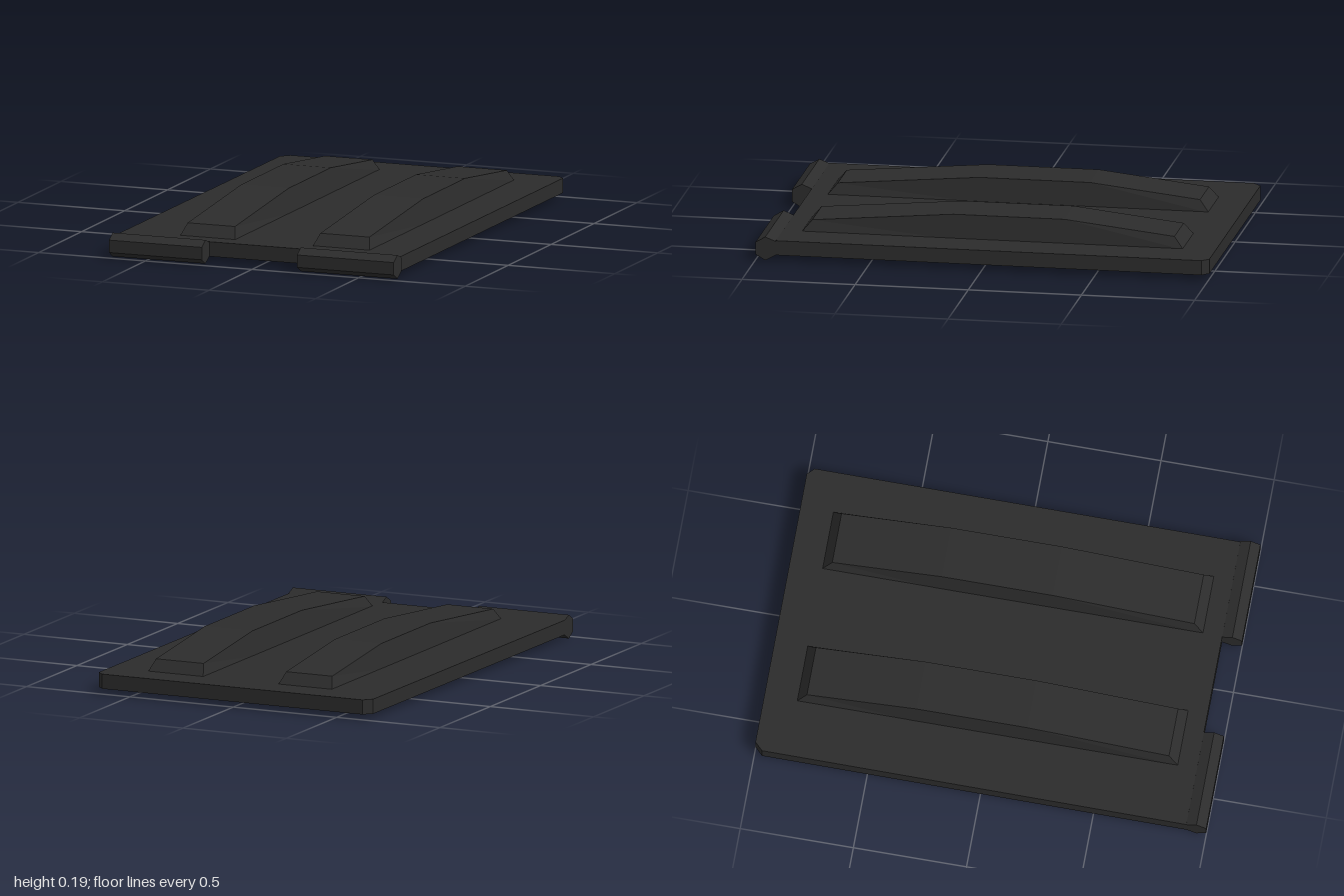
import * as THREE from 'three';

const darkPlastic = new THREE.MeshStandardMaterial({ color: 0x2c2c2c });
darkPlastic.name = 'dark grey';

// Closed loft through equally sized rings of points, with flat faces
function loft(rings) {
  const pos = [];
  const tri = (a, b, c) => pos.push(...a, ...b, ...c);
  const n = rings[0].length;
  for (let r = 0; r < rings.length - 1; r++) {
    for (let i = 0; i < n; i++) {
      const j = (i + 1) % n;
      const [a, b, c, d] = [rings[r][i], rings[r][j], rings[r + 1][j], rings[r + 1][i]];
      tri(a, b, c);
      tri(a, c, d);
    }
  }
  const first = rings[0], last = rings[rings.length - 1];
  for (let i = 1; i < n - 1; i++) {
    tri(first[0], first[i + 1], first[i]);
    tri(last[0], last[i], last[i + 1]);
  }
  const geo = new THREE.BufferGeometry();
  geo.setAttribute('position', new THREE.Float32BufferAttribute(pos, 3));
  geo.computeVertexNormals();
  return geo;
}

export function createModel() {
  const model = new THREE.Group();
  const add = (geo, name) => {
    const mesh = new THREE.Mesh(geo, darkPlastic);
    mesh.name = name;
    model.add(mesh);
  };

  // Flat panel with clipped back corners
  const outline = new THREE.Shape([
    [-0.67, -0.912], [0.66, -0.912], [0.665, 0.97], [0.635, 1], [-0.625, 1], [-0.66, 0.965],
  ].map(([x, y]) => new THREE.Vector2(x, y)));
  const panel = new THREE.ExtrudeGeometry(outline, { depth: 0.065, bevelEnabled: false });
  panel.rotateX(-Math.PI / 2).translate(0, 0.024, 0);
  add(panel, 'panel');

  // Raised ribs: sloping ends, arched top, tapered sides
  const base = 0.085;
  const stations = [[0.83, base], [0.785, 0.138], [0.16, 0.192], [-0.33, 0.192], [-0.815, 0.138], [-0.858, base]];
  const addRib = (x0, x1, name) => {
    const rings = stations.map(([z, y]) => {
      const inset = y > base ? 0.019 : 0;
      const zBase = THREE.MathUtils.clamp(z * 1.06, -0.858, 0.83);
      return [[x0, base, zBase], [x0 + inset, y, z], [x1 - inset, y, z], [x1, base, zBase]];
    });
    add(loft(rings), name);
  };
  addRib(-0.407, -0.147, 'rightRib');
  addRib(0.215, 0.483, 'leftRib');

  // Six-sided hinge lugs along the front edge
  const profile = [[1, 0.08], [0.957, 0.105], [0.91, 0.086], [0.91, 0.026], [0.957, 0], [1, 0.025]];
  const addLug = (x0, x1, name) =>
    add(loft([x0, x1].map((x) => profile.map(([z, y]) => [x, y, z]).reverse())), name);
  addLug(-0.67, -0.235, 'rightHingeLug');
  addLug(0.212, 0.665, 'leftHingeLug');

  return model;
}
